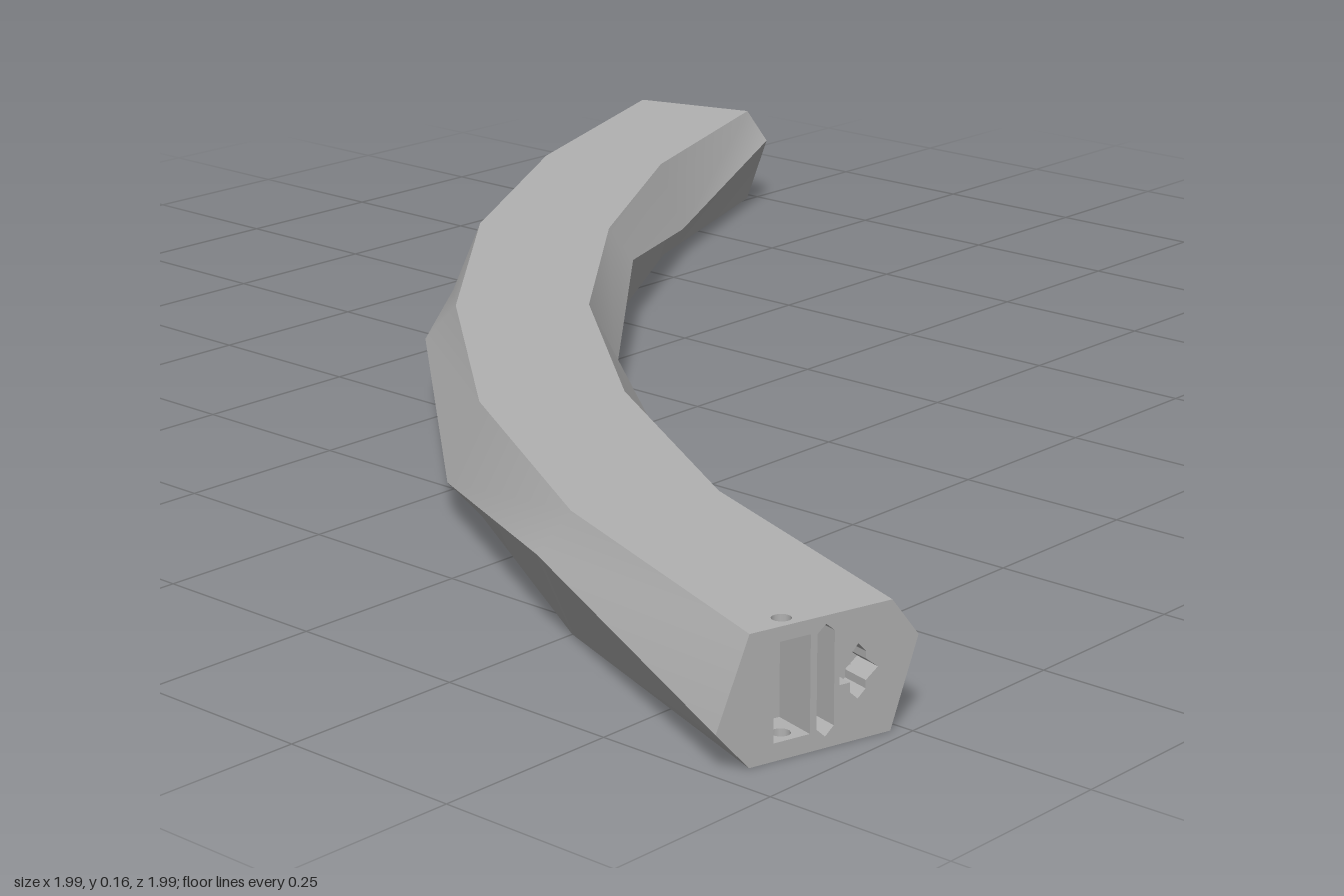
import * as THREE from 'three';

const grey = new THREE.MeshStandardMaterial({ color: 0xb2b2b2, side: THREE.DoubleSide });
grey.name = 'grey';

const HEIGHT = 0.16;
const PIN = { u: 0.103, depth: 0.022, r: 0.012 }; // coupling pin hole in end coordinates

// Widest outer and inner edges in plan [x, z]
const OUTER = [[-1, 0.92], [-0.83, 0.48], [-0.59, 0.08], [-0.28, -0.28], [0.08, -0.59], [0.48, -0.83], [0.91, -1]];
const INNER = [[-0.73, 0.99], [-0.58, 0.6], [-0.36, 0.24], [-0.09, -0.08], [0.24, -0.35], [0.6, -0.57], [0.99, -0.72]];

function add(parent, name, geometry) {
  const mesh = new THREE.Mesh(geometry, grey);
  mesh.name = name;
  parent.add(mesh);
  return mesh;
}

// Strip of faces between two rows of points
function strip(a, b) {
  const pos = [], index = [];
  a.forEach((p, i) => {
    pos.push(...p, ...b[i]);
    const k = 2 * i;
    if (i < a.length - 1) index.push(k, k + 1, k + 2, k + 2, k + 1, k + 3);
  });
  const g = new THREE.BufferGeometry();
  g.setAttribute('position', new THREE.Float32BufferAttribute(pos, 3));
  g.setIndex(index);
  g.computeVertexNormals();
  return g;
}

const polygon = (pts) => new THREE.Shape(pts.map(([x, y]) => new THREE.Vector2(x, y)));
const rect = (x0, y0, x1, y1) => polygon([[x0, y0], [x1, y0], [x1, y1], [x0, y1]]);
function circle(x, y, r) {
  const path = new THREE.Path();
  path.absarc(x, y, r, 0, Math.PI * 2);
  return path;
}

// Walls and floor of a pocket: an extrusion turned inside out without its front face
function pocket(shape, depth, openTopAndBottom = false) {
  const src = new THREE.ExtrudeGeometry(shape, { depth, bevelEnabled: false, curveSegments: 6 });
  src.translate(0, 0, -depth);
  const p = src.attributes.position, n = src.attributes.normal, out = [];
  for (let i = 0; i < p.count; i += 3) {
    if (n.getZ(i) > 0.9) continue;
    if (openTopAndBottom && Math.abs(n.getY(i)) > 0.9) continue;
    for (const j of [i, i + 2, i + 1]) out.push(p.getX(j), p.getY(j), p.getZ(j));
  }
  const g = new THREE.BufferGeometry();
  g.setAttribute('position', new THREE.Float32BufferAttribute(out, 3));
  g.computeVertexNormals();
  return g;
}

// End face; s = 1 runs outer to inner along local x, s = -1 the other way
function makeEnd(name, o, i, s) {
  const end = new THREE.Group();
  end.name = name;
  end.position.set(o[0], 0, o[1]);
  end.rotation.y = Math.atan2(-s * (i[1] - o[1]), s * (i[0] - o[0]));
  const w = Math.hypot(i[0] - o[0], i[1] - o[1]);
  const at = (pts) => polygon(pts.map(([u, y]) => [s * u, y]));

  const face = at([[0, 0.05], [0.045, 0], [w - 0.038, 0], [w, 0.11], [w - 0.038, HEIGHT], [0.045, HEIGHT]]);
  const slot = at([[0.137, 0.025], [0.149, 0.014], [0.161, 0.025], [0.161, 0.14], [0.149, 0.15], [0.137, 0.14]]);
  const cross = at([[0.168, 0.072], [0.183, 0.072], [0.183, 0.06], [0.194, 0.05], [0.205, 0.06], [0.205, 0.07],
    [0.222, 0.083], [0.205, 0.096], [0.205, 0.105], [0.194, 0.117], [0.183, 0.105], [0.183, 0.094], [0.168, 0.094]]);
  face.holes.push(slot, cross);
  add(end, 'slot', pocket(slot, 0.05));
  add(end, 'crossSocket', pocket(cross, 0.04));

  if (s > 0) {
    // Socket for the coupling tab, with the pin hole through floor and ceiling
    const socket = rect(0.078, 0.022, 0.128, 0.142);
    face.holes.push(socket);
    add(end, 'couplingSocket', pocket(socket, 0.06, true));
    for (const y of [0.022, 0.142]) {
      const plate = rect(0.078, 0, 0.128, 0.06);
      plate.holes.push(circle(PIN.u, PIN.depth, PIN.r));
      add(end, 'socketPlate', new THREE.ShapeGeometry(plate).rotateX(-Math.PI / 2).translate(0, y, 0));
    }
    for (const y of [0.011, 0.151]) {
      const tube = new THREE.CylinderGeometry(PIN.r, PIN.r, y < 0.1 ? 0.022 : 0.018, 12, 1, true);
      add(end, 'pinHole', tube.translate(PIN.u, y, -PIN.depth));
    }
  } else {
    // Coupling tab with a vertical pin hole
    const tab = polygon([[-0.126, 0], [-0.08, 0], [-0.08, -0.048], [-0.126, -0.048]]);
    tab.holes.push(circle(-PIN.u, -0.026, PIN.r));
    const g = new THREE.ExtrudeGeometry(tab, { depth: 0.105, bevelEnabled: false, curveSegments: 12 });
    add(end, 'couplingTab', g.rotateX(-Math.PI / 2).translate(0, 0.03, 0));
  }
  add(end, 'endFace', new THREE.ShapeGeometry(face));
  return end;
}

export function createModel() {
  const model = new THREE.Group();
  model.name = 'curvedSegment';

  // Top and bottom outlines are set in from the widest edges
  const inset = (from, to, d) => from.map(([x, z], k) => {
    const dx = to[k][0] - x, dz = to[k][1] - z, l = Math.hypot(dx, dz);
    return [x + dx * d / l, z + dz * d / l];
  });
  const outerRim = inset(OUTER, INNER, 0.045);
  const innerRim = inset(INNER, OUTER, 0.038);
  const lift = (pts, y) => pts.map(([x, z], k) => [x, typeof y === 'function' ? y(k) : y, z]);

  // Faceted sides whose ridge zigzags up and down
  const outerRidge = lift(OUTER, (k) => (k % 2 ? 0.11 : 0.05));
  const innerRidge = lift(INNER, (k) => (k % 2 ? 0.05 : 0.11));
  add(model, 'outerLowerSide', strip(lift(outerRim, 0), outerRidge));
  add(model, 'outerUpperSide', strip(outerRidge, lift(outerRim, HEIGHT)));
  add(model, 'innerUpperSide', strip(lift(innerRim, HEIGHT), innerRidge));
  add(model, 'innerLowerSide', strip(innerRidge, lift(innerRim, 0)));

  // Flat top and bottom, pierced by the pin hole
  const outline = [...outerRim, ...[...innerRim].reverse()];
  const [ox, oz] = OUTER[0];
  const dx = INNER[0][0] - ox, dz = INNER[0][1] - oz, l = Math.hypot(dx, dz);
  const px = ox + (dx * PIN.u + dz * PIN.depth) / l;
  const pz = oz + (dz * PIN.u - dx * PIN.depth) / l;
  for (const [name, sign, y] of [['top', -1, HEIGHT], ['bottom', 1, 0]]) {
    const shape = polygon(outline.map(([x, z]) => [x, sign * z]));
    shape.holes.push(circle(px, sign * pz, PIN.r));
    add(model, name, new THREE.ShapeGeometry(shape).rotateX(sign * Math.PI / 2).translate(0, y, 0));
  }

  model.add(makeEnd('socketEnd', OUTER[0], INNER[0], 1));
  model.add(makeEnd('tabEnd', OUTER[6], INNER[6], -1));
  return model;
}
